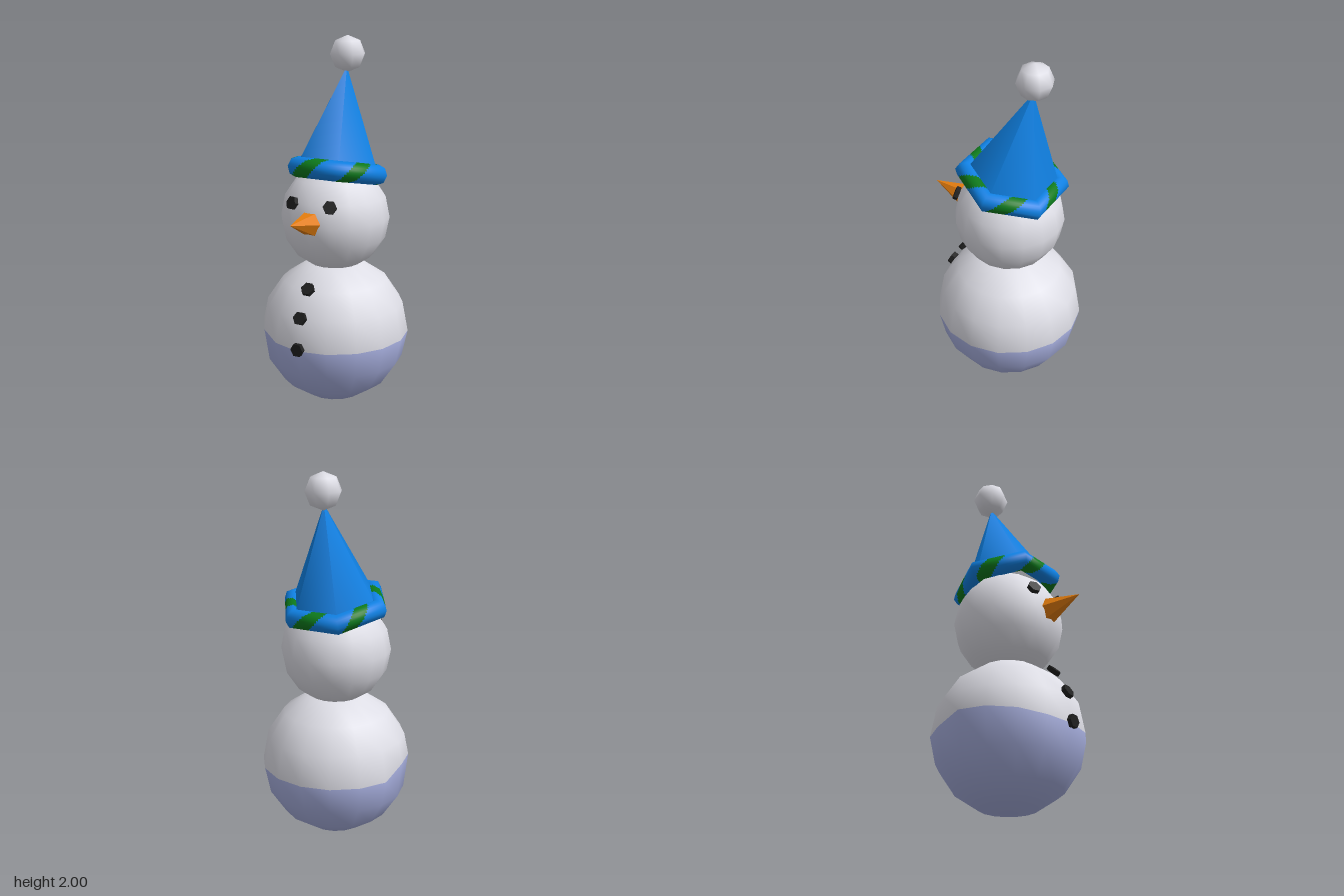
import * as THREE from 'three';

const mat = (name, color, extra = {}) => {
  const m = new THREE.MeshStandardMaterial({ color, ...extra });
  m.name = name;
  return m;
};

export function createModel() {
  const snow = mat('snow white', 0xdedee6);
  const shade = mat('bluish snow', 0xa8b0e0);
  const blue = mat('hat blue', 0x0f80e2);
  const green = mat('stripe green', 0x0d7a1c);
  const orange = mat('carrot orange', 0xe67e0e, { flatShading: true });
  const coal = mat('coal black', 0x1e1e1e, { flatShading: true });

  const model = new THREE.Group();
  model.name = 'snowman';
  const add = (name, geo, material, parent = model, pos = [0, 0, 0]) => {
    const mesh = new THREE.Mesh(geo, material);
    mesh.name = name;
    mesh.position.set(...pos);
    parent.add(mesh);
    return mesh;
  };

  // Body: two half spheres meeting at a slightly uneven colour line
  const R = 0.405;
  const half = (start) => {
    const g = new THREE.SphereGeometry(R, 16, 4, 0, Math.PI * 2, start, Math.PI / 2);
    const p = g.attributes.position;
    for (let i = 0; i < p.count; i++) {
      if (Math.abs(p.getY(i)) > 1e-4) continue;
      const x = p.getX(i), z = p.getZ(i);
      const rise = z > -0.01 ? 0.05 * Math.max(0, (-x - 0.1) / 0.3) : 0;
      const k = 1 - Math.max(0, rise - 0.01) * 0.5;
      p.setXYZ(i, x * k, rise - 0.01, z * k);
    }
    return g;
  };
  const bodyAt = [0, 0.41, -0.033];
  add('upperBody', half(0), snow, model, bodyAt);
  add('lowerBody', half(Math.PI / 2), shade, model, bodyAt);

  // Head
  const headAt = [0, 1.045, -0.035];
  add('head', new THREE.SphereGeometry(0.295, 16, 8), snow, model, headAt);

  // Coal pieces lie flat against the ball they sit on
  const front = new THREE.Vector3(0, 0, 1);
  const coalGeo = new THREE.CylinderGeometry(0.037, 0.037, 0.024, 6);
  coalGeo.rotateY(Math.PI / 6).rotateX(Math.PI / 2).rotateZ(Math.PI / 6);
  const coalGeoFlat = coalGeo.clone();
  coalGeoFlat.computeBoundingBox();
  // Keep the hexagon's points to the left and right
  if (coalGeoFlat.boundingBox.max.x < 0.035) coalGeoFlat.rotateZ(Math.PI / 6);
  const addCoal = (name, pos, centre) => {
    const mesh = add(name, coalGeoFlat, coal, model, pos);
    const dir = new THREE.Vector3(...pos).sub(new THREE.Vector3(...centre)).normalize();
    mesh.quaternion.setFromUnitVectors(front, dir);
  };
  [[0.41, 0.375], [0.575, 0.346], [0.71, 0.262]].forEach(([y, z], i) =>
    addCoal('button' + (i + 1), [0, y, z], bodyAt));
  addCoal('leftEye', [0.112, 1.157, 0.226], headAt);
  addCoal('rightEye', [-0.112, 1.157, 0.226], headAt);

  // Carrot nose, tilted slightly upwards
  const noseGeo = new THREE.ConeGeometry(0.074, 0.22, 6);
  noseGeo.rotateY(Math.PI / 6).rotateX(Math.PI / 2);
  noseGeo.computeBoundingBox();
  if (noseGeo.boundingBox.max.x < 0.07) noseGeo.rotateZ(Math.PI / 6);
  add('nose', noseGeo, orange, model, [0, 1.077, 0.327]).rotation.x = -0.17;

  // Hat, tipped backwards
  const hat = new THREE.Group();
  hat.name = 'hat';
  hat.position.set(0, 1.292, -0.05);
  hat.rotation.x = -0.21;
  model.add(hat);
  const coneGeo = new THREE.ConeGeometry(0.25, 0.555, 6, 1, true);
  coneGeo.rotateY(Math.PI / 6).translate(0, 0.2775, 0);
  add('hatCone', coneGeo, blue, hat);
  add('hatBrim', brimGeometry(0.247, 0.054, 24, 24), [blue, green], hat);

  // Pompom
  add('pompom', new THREE.SphereGeometry(0.098, 8, 4), snow, model, [0, 1.902, -0.172]);
  return model;
}

// Six-sided ring with an eight-sided tube; one slanted stripe on each side
function brimGeometry(radius, tube, perSide, around) {
  const pos = [], nor = [], cells = [[], []];
  const corner = (side, facet) => {
    const a = (side - 0.5) * Math.PI / 3, f = facet * Math.PI / 4;
    const r = radius + tube * Math.cos(f);
    return [
      new THREE.Vector3(Math.sin(a) * r, tube * Math.sin(f), Math.cos(a) * r),
      new THREE.Vector3(Math.sin(a) * Math.cos(f), Math.sin(f), Math.cos(a) * Math.cos(f)),
    ];
  };
  const cols = 6 * perSide, row = around + 1;
  for (let i = 0; i <= cols; i++) {
    const side = Math.min(5, Math.floor(i / perSide)), s = i / perSide - side;
    for (let j = 0; j <= around; j++) {
      const t = j * 8 / around, facet = Math.min(7, Math.floor(t)), u = t - facet;
      const mix = (k) => corner(side, facet)[k].lerp(corner(side, facet + 1)[k], u)
        .lerp(corner(side + 1, facet)[k].lerp(corner(side + 1, facet + 1)[k], u), s);
      pos.push(...mix(0).toArray());
      nor.push(...mix(1).normalize().toArray());
      if (i === cols || j === around) continue;
      // The stripe moves along by one whole side per turn of the tube
      const d = (i + 0.5) / perSide - 0.6 - ((j + 0.5) / around - 0.25);
      const striped = Math.abs(d - Math.round(d)) < 0.165 ? 1 : 0;
      const a = i * row + j, b = a + row;
      cells[striped].push(a, b, b + 1, a, b + 1, a + 1);
    }
  }
  const g = new THREE.BufferGeometry();
  g.setAttribute('position', new THREE.Float32BufferAttribute(pos, 3));
  g.setAttribute('normal', new THREE.Float32BufferAttribute(nor, 3));
  g.setIndex([...cells[0], ...cells[1]]);
  g.addGroup(0, cells[0].length, 0);
  g.addGroup(cells[0].length, cells[1].length, 1);
  return g;
}
